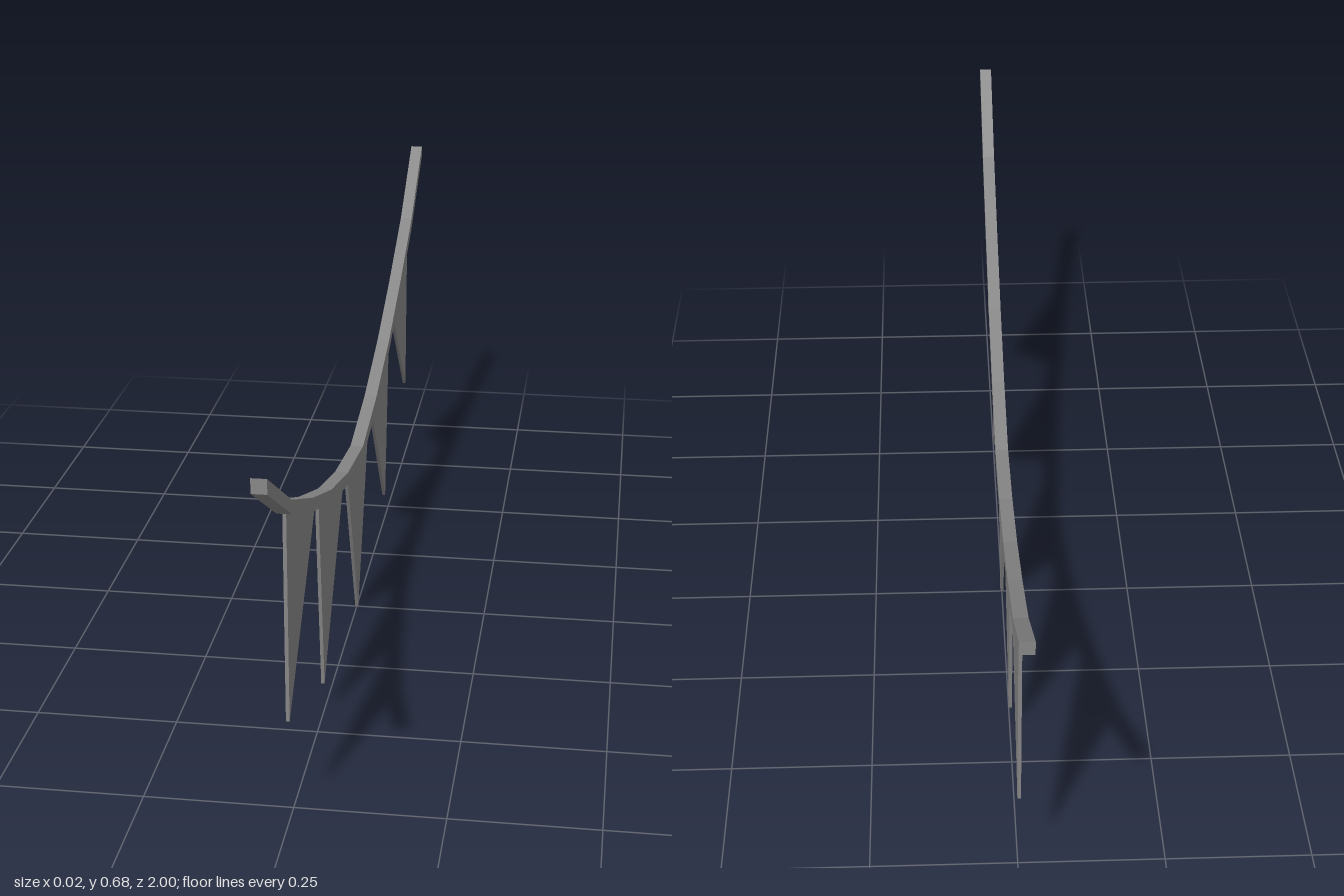
import * as THREE from 'three';

// Sagging top line of the cord: [z, y] from the middle to one end
const half = [[0, 0.338], [0.2, 0.366], [0.4, 0.416], [0.6, 0.485], [0.8, 0.566], [1, 0.682]];
const top = [...half.slice(1).reverse().map(([z, y]) => [-z, y]), ...half];
const cordHeight = 0.024;

// Height of the cord's top at any z
function cordY(z) {
  const i = Math.min(Math.floor(Math.abs(z) / 0.2 + 1e-6), half.length - 2);
  const [z0, y0] = half[i], [z1, y1] = half[i + 1];
  return THREE.MathUtils.mapLinear(Math.abs(z), z0, z1, y0, y1);
}

// Plate cut from a (z, y) outline, centred on x = 0
function plate(name, outline, thickness, material) {
  const shape = new THREE.Shape(outline.map(([z, y]) => new THREE.Vector2(z, y)));
  const geometry = new THREE.ExtrudeGeometry(shape, { depth: thickness, bevelEnabled: false });
  geometry.translate(0, 0, -thickness / 2).rotateY(-Math.PI / 2);
  const mesh = new THREE.Mesh(geometry, material);
  mesh.name = name;
  return mesh;
}

export function createModel() {
  const group = new THREE.Group();
  group.name = 'bunting';
  const material = new THREE.MeshStandardMaterial({ color: 0x888888, flatShading: true });

  // Cord: a square-section strip bent at regular knots
  const bottom = top.map(([z, y]) => [z, y - cordHeight]).reverse();
  group.add(plate('cord', [...top, ...bottom], 0.024, material));

  // Pennants: back z, front z and tip; the upper edge is tucked inside the cord
  const pennants = [
    [-0.798, -0.523, [-0.788, 0.183]],
    [-0.474, -0.19, [-0.421, 0.06]],
    [-0.15, 0.15, [0, 0]],
    [0.2, 0.488, [0.435, 0.06]],
    [0.525, 0.8, [0.794, 0.183]],
  ];
  for (const [back, front, tip] of pennants) {
    const knots = top.map(([z]) => z).filter((z) => z > back + 0.005 && z < front - 0.005);
    const edge = [back, ...knots, front].map((z) => [z, cordY(z) - cordHeight * 0.8]);
    group.add(plate('pennant', [...edge, tip], 0.006, material));
  }
  return group;
}
